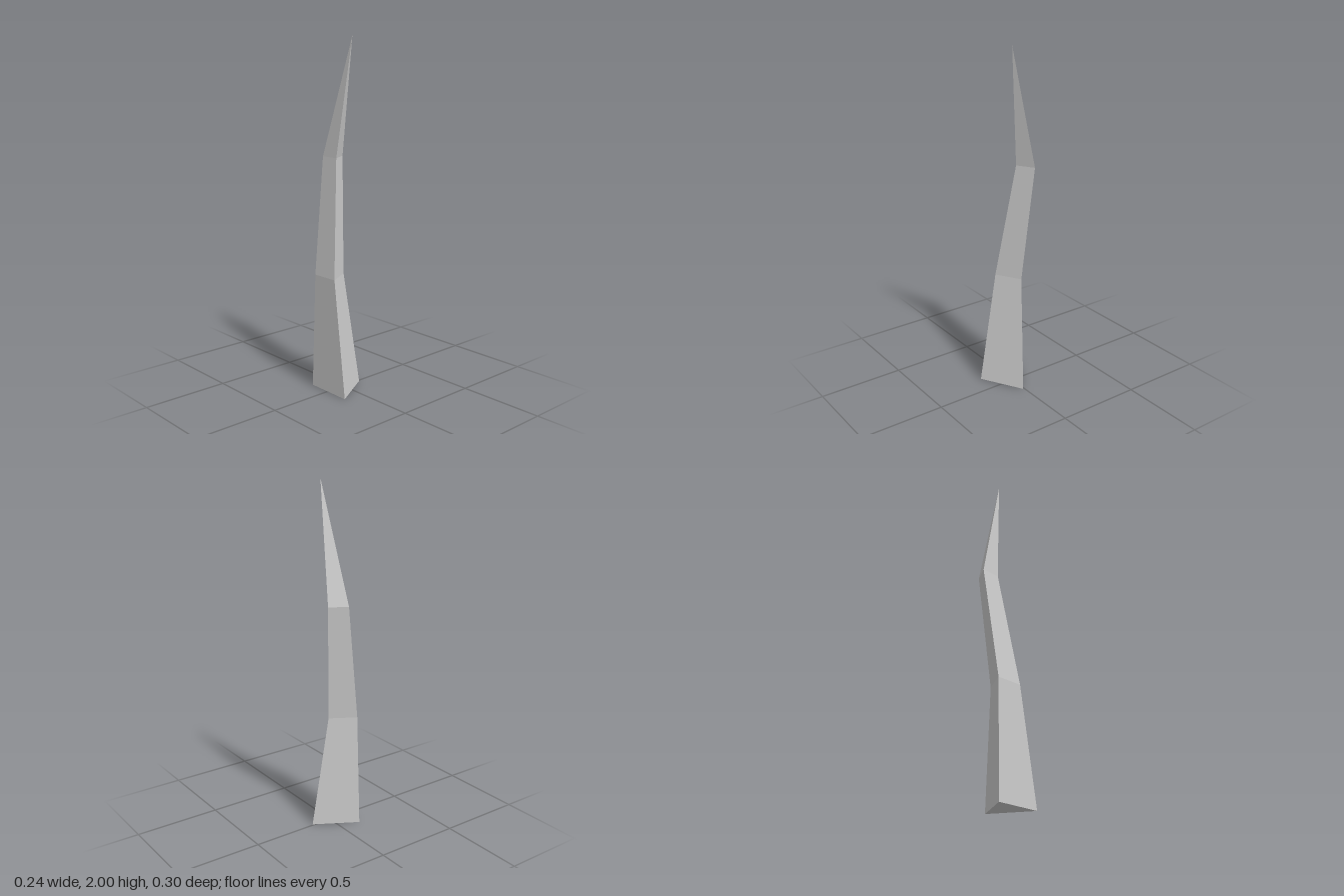
import * as THREE from 'three';

// Cross-sections of the bent spike: centre x, y, z and radius
const SECTIONS = [
  [-0.04, 0, 0.008, 0.16],
  [-0.058, 0.667, -0.037, 0.0945],
  [0.0155, 1.333, -0.094, 0.065],
  [0.04, 2, 0.03, 0],
];
const SIDES = 3;

function spikeGeometry() {
  const rings = SECTIONS.map(([x, y, z, r]) =>
    Array.from({ length: SIDES }, (_, i) => {
      const a = (i / SIDES) * Math.PI * 2;
      return [x + r * Math.cos(a), y, z + r * Math.sin(a)];
    }));
  const positions = [];
  const tri = (a, b, c) => positions.push(...a, ...b, ...c);

  // Closed base, facing down
  tri(...rings[0]);

  // Side faces between neighbouring sections; the last section is a point
  for (let s = 0; s < rings.length - 1; s++) {
    const low = rings[s], high = rings[s + 1];
    for (let i = 0; i < SIDES; i++) {
      const j = (i + 1) % SIDES;
      tri(low[j], low[i], high[i]);
      if (SECTIONS[s + 1][3] > 0) tri(low[j], high[i], high[j]);
    }
  }

  const geometry = new THREE.BufferGeometry();
  geometry.setAttribute('position', new THREE.Float32BufferAttribute(positions, 3));
  geometry.computeVertexNormals();
  return geometry;
}

export function createModel() {
  const group = new THREE.Group();
  group.name = 'bentSpike';
  const spike = new THREE.Mesh(
    spikeGeometry(),
    new THREE.MeshStandardMaterial({ color: 0xcccccc, flatShading: true }),
  );
  spike.name = 'spike';
  group.add(spike);
  return group;
}
